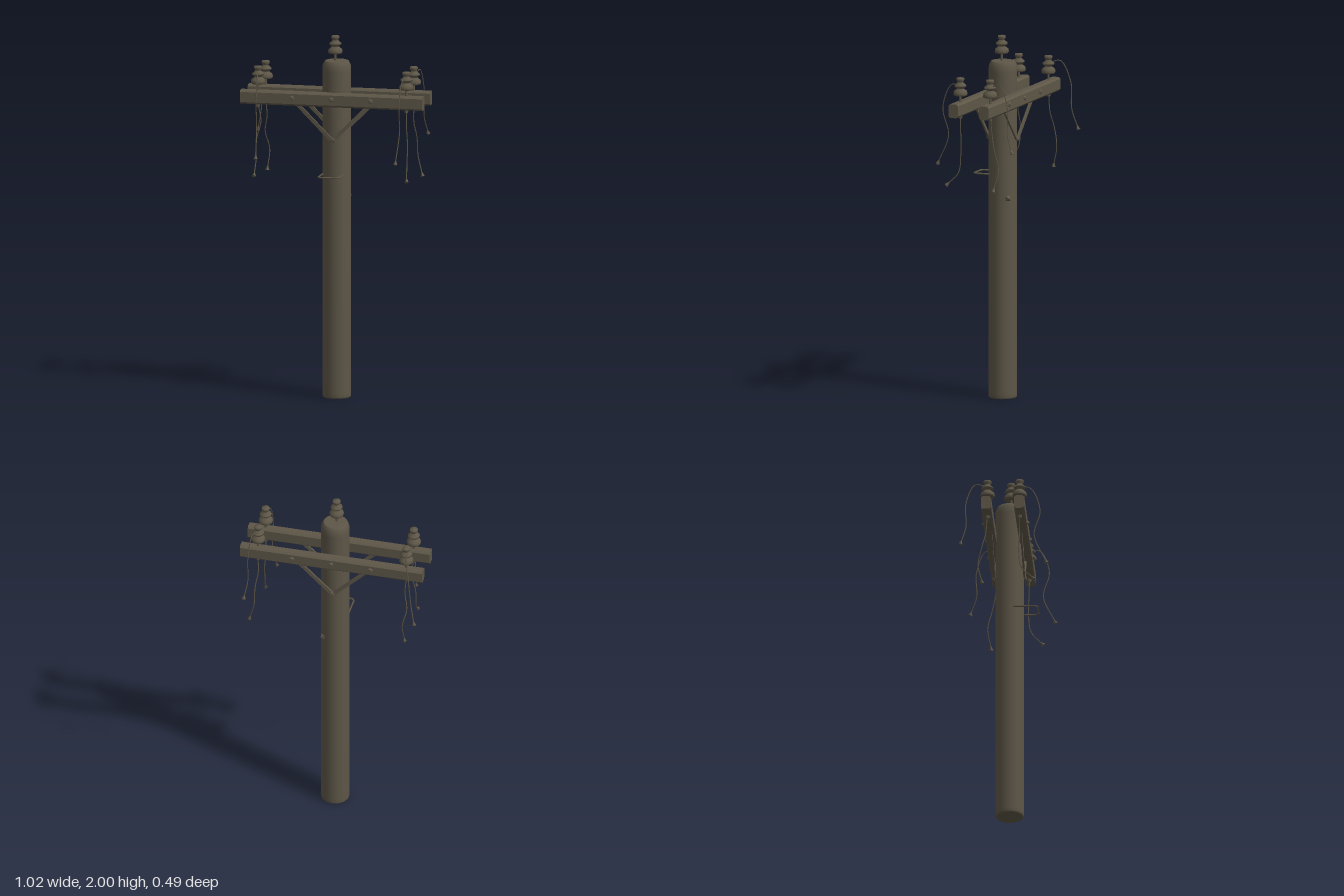
import * as THREE from 'three';

export function createModel() {
  const root = new THREE.Group();
  root.name = 'utilityPole';
  const wood = new THREE.MeshStandardMaterial({ color: 0x5e5748 });
  wood.name = 'weathered brown';
  const flat = wood.clone();
  flat.flatShading = true;
  flat.name = 'weathered brown faceted';

  const V = (x, y, z) => new THREE.Vector3(x, y, z);
  const add = (name, geo, mat = wood, x = 0, y = 0, z = 0) => {
    const m = new THREE.Mesh(geo, mat);
    m.name = name;
    m.position.set(x, y, z);
    root.add(m);
    return m;
  };
  const lathe = (pts, sides) =>
    new THREE.LatheGeometry(pts.map(p => new THREE.Vector2(...p)), sides);

  // Pole with a rounded-off top
  add('pole', lathe([[0, 0], [0.074, 0], [0.078, 0.008], [0.078, 0.03], [0.078, 1.8], [0.077, 1.835],
    [0.066, 1.858], [0.06, 1.86], [0, 1.86]], 14), wood, 0.006, 0, 0.009);

  // Insulator: skirt, disc and cap, standing on a metal pin
  const insulatorGeo = lathe([[0, 0], [0.036, 0], [0.04, 0.008], [0.037, 0.024], [0.021, 0.036], [0.02, 0.041],
    [0.033, 0.049], [0.033, 0.057], [0.016, 0.071], [0.016, 0.076], [0.023, 0.086], [0.021, 0.097], [0, 0.1]], 10);
  const insulator = (x, y, z, pin) => {
    add('insulator', insulatorGeo, wood, x, y, z);
    add('insulatorPin', new THREE.CylinderGeometry(0.007, 0.007, pin, 6), wood, x, y - pin / 2 + 0.01, z);
  };
  insulator(0, 1.9, 0.018, 0.07);

  // Crossarm section with chamfered long edges (local x is depth, y is height)
  const w = 0.028, h = 0.038, c = 0.01;
  const section = new THREE.Shape([[-w, -h + c], [-w + c, -h], [w - c, -h], [w, -h + c],
    [w, h - c], [w - c, h], [-w + c, h], [-w, h - c]].map(p => new THREE.Vector2(...p)));
  const beamGeo = new THREE.ExtrudeGeometry(section, { depth: 1.02, bevelEnabled: false });
  beamGeo.translate(0, 0, -0.51).rotateY(Math.PI / 2);

  const boltGeo = new THREE.CylinderGeometry(0.009, 0.015, 0.012, 6).rotateX(Math.PI / 2);

  // Flat bar between two points
  const bar = (name, a, b, width, thick) => {
    const m = add(name, new THREE.BoxGeometry(width, a.distanceTo(b), thick), flat);
    m.position.copy(a).add(b).multiplyScalar(0.5);
    m.quaternion.setFromUnitVectors(V(0, 1, 0), b.clone().sub(a).normalize());
  };

  for (const s of [1, -1]) {
    const z = s > 0 ? 0.093 : -0.088;
    const face = s > 0 ? 0.088 : -0.07;
    add('crossarm', beamGeo, flat, 0, 1.655, z);
    for (const x of [-0.22, 0, 0.22]) {
      const bolt = add('crossarmBolt', boltGeo, flat, x, 1.66, z + s * 0.032);
      if (s < 0) bolt.rotation.y = Math.PI;
    }
    for (const side of [1, -1]) {
      bar('brace', V(side * 0.215, 1.64, z - s * 0.01), V(side * 0.008, 1.435, face + s * 0.003), 0.02, 0.01);
      insulator(side * 0.415, 1.728, z - s * 0.003, 0.12);
      add('pinNut', new THREE.CylinderGeometry(0.013, 0.01, 0.02, 6), flat, side * 0.415, 1.61, z - s * 0.003);
    }
    const pivot = add('braceBolt', boltGeo, flat, 0.004, 1.432, face + s * 0.008);
    if (s < 0) pivot.rotation.y = Math.PI;
  }

  // Foot step: bent rod on the front of the pole
  const step = new THREE.CurvePath();
  const corners = [V(-0.064, 1.235, 0.01), V(-0.064, 1.235, 0.15), V(-0.05, 1.235, 0.164),
    V(0.04, 1.235, 0.164), V(0.054, 1.235, 0.15), V(0.054, 1.235, 0.05)];
  for (let i = 1; i < corners.length; i++) step.add(new THREE.LineCurve3(corners[i - 1], corners[i]));
  add('footStep', new THREE.TubeGeometry(step, 40, 0.005, 6));

  // Small pointed stud on the rear of the pole
  const stud = add('poleStud', new THREE.ConeGeometry(0.024, 0.022, 4), flat, 0.066, 1.11, -0.048);
  stud.quaternion.setFromUnitVectors(V(0, 1, 0), V(0.72, 0, -0.69).normalize());

  // Hanging broken wires, each with a frayed tip
  const wires = [
    [[-0.425, 1.79, -0.1], [-0.43, 1.8, -0.15], [-0.455, 1.68, -0.2], [-0.468, 1.53, -0.2], [-0.49, 1.43, -0.225]],
    [[0.425, 1.79, -0.1], [0.435, 1.8, -0.15], [0.445, 1.68, -0.2], [0.445, 1.53, -0.2], [0.458, 1.445, -0.23]],
    [[-0.415, 1.79, 0.1], [-0.405, 1.78, 0.15], [-0.4, 1.65, 0.2], [-0.405, 1.5, 0.168], [-0.395, 1.35, 0.23]],
    [[0.415, 1.79, 0.1], [0.405, 1.78, 0.15], [0.4, 1.65, 0.2], [0.395, 1.5, 0.168], [0.388, 1.35, 0.23]],
    [[-0.415, 1.61, -0.088], [-0.41, 1.52, -0.095], [-0.425, 1.43, -0.115], [-0.405, 1.33, -0.138], [-0.412, 1.23, -0.118]],
    [[0.415, 1.61, -0.088], [0.412, 1.52, -0.095], [0.425, 1.43, -0.115], [0.425, 1.33, -0.138], [0.452, 1.23, -0.122]],
    [[-0.415, 1.61, 0.09], [-0.4, 1.52, 0.088], [-0.425, 1.42, 0.085], [-0.425, 1.3, 0.1], [-0.42, 1.24, 0.16]],
    [[0.415, 1.61, 0.09], [0.415, 1.52, 0.088], [0.42, 1.42, 0.085], [0.42, 1.3, 0.1], [0.432, 1.24, 0.155]],
  ];
  const tipGeo = new THREE.ConeGeometry(0.012, 0.032, 4);
  for (const pts of wires) {
    const curve = new THREE.CatmullRomCurve3(pts.map(p => V(...p)));
    add('wire', new THREE.TubeGeometry(curve, 24, 0.003, 4));
    const end = curve.getPoint(1);
    const tip = add('wireTip', tipGeo, flat, end.x, end.y, end.z);
    tip.quaternion.setFromUnitVectors(V(0, -1, 0), curve.getTangent(1));
    tip.rotateX(Math.PI);
    tip.rotateX(Math.PI);
  }

  return root;
}
